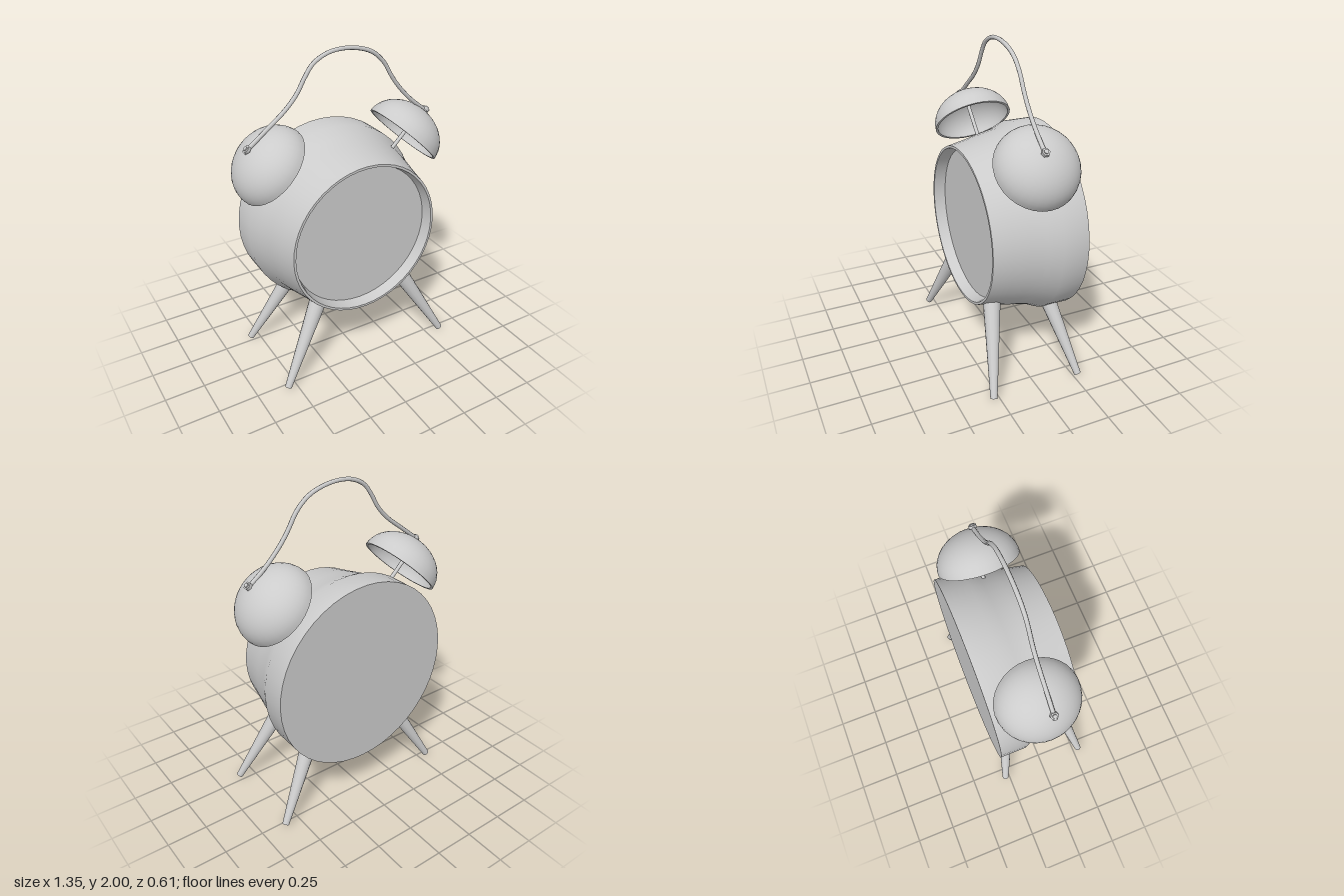
import * as THREE from 'three';
import { toCreasedNormals } from 'three/addons/utils/BufferGeometryUtils.js';

const material = new THREE.MeshStandardMaterial({ color: 0xcccccc });
const shellMaterial = new THREE.MeshStandardMaterial({ color: 0xcccccc, side: THREE.DoubleSide });
const v = (x, y, z) => new THREE.Vector3(x, y, z);

function add(parent, name, geometry, mat = material) {
  const mesh = new THREE.Mesh(geometry, mat);
  mesh.name = name;
  parent.add(mesh);
  return mesh;
}

function lathe(profile, segments, crease = 0.5) {
  const points = profile.map(([r, y]) => new THREE.Vector2(r, y));
  return toCreasedNormals(new THREE.LatheGeometry(points, segments), crease);
}

// Tapered round bar between two points
function bar(parent, name, from, to, rFrom, rTo, segments) {
  const dir = to.clone().sub(from);
  const mesh = add(parent, name, new THREE.CylinderGeometry(rTo, rFrom, dir.length(), segments));
  mesh.position.copy(from).add(to).multiplyScalar(0.5);
  mesh.quaternion.setFromUnitVectors(v(0, 1, 0), dir.normalize());
  return mesh;
}

export function createModel() {
  const clock = new THREE.Group();
  clock.name = 'alarmClock';
  const cx = 0.02, cy = 0.88;

  // Case: straight back drum, tapering to a thin front lip and recessed bezel
  const caseGeometry = lathe([
    [0, -0.3], [0.592, -0.3], [0.592, -0.14], [0.555, -0.06], [0.535, 0.04],
    [0.512, 0.14], [0.49, 0.25], [0.475, 0.25], [0.458, 0.17],
  ], 48).rotateX(Math.PI / 2);
  add(clock, 'case', caseGeometry).position.set(cx, cy, 0);

  // Flat dial inside the bezel
  add(clock, 'dial', new THREE.CircleGeometry(0.465, 48)).position.set(cx, cy, 0.18);

  // Bell shell: flattened dome, outside then rim then inside
  const bellProfile = [];
  const steps = 12;
  for (let i = 0; i <= steps; i++) {
    const a = (i / steps) * Math.PI / 2;
    bellProfile.push([0.235 * Math.sin(a), 0.185 * Math.cos(a)]);
  }
  for (let i = steps; i >= 0; i--) {
    const a = (i / steps) * Math.PI / 2;
    bellProfile.push([0.25 * Math.sin(a), 0.2 * Math.cos(a)]);
  }
  const bellGeometry = lathe(bellProfile, 32);

  for (const [side, s] of [['left', 1], ['right', -1]]) {
    // Bell, its post and the bolt on top
    const bell = add(clock, side + 'Bell', bellGeometry, shellMaterial);
    bell.position.set(s * 0.45, 1.367, -0.033);
    bell.rotation.z = -s * Math.PI / 4;
    bar(clock, side + 'BellPost', v(s * 0.34, 1.257, -0.033), v(s * 0.585, 1.502, -0.033), 0.012, 0.012, 10);
    bar(clock, side + 'HandleBolt', v(s * 0.575, 1.492, -0.006), v(s * 0.612, 1.529, -0.006), 0.013, 0.013, 10);
    bar(clock, side + 'BoltHead', v(s * 0.594, 1.511, -0.006), v(s * 0.607, 1.524, -0.006), 0.024, 0.024, 6);

    // Splayed tapered legs, front and back
    for (const [end, e] of [['Front', 1], ['Back', -1]]) {
      bar(clock, side + end + 'Leg',
        v(cx + s * 0.58, 0.012, 0.005 + e * 0.283),
        v(cx + s * 0.305, 0.495, 0.005 + e * 0.175), 0.021, 0.053, 14);
    }
  }

  // Arched carrying handle
  const path = [
    [-0.62, 1.5], [-0.475, 1.61], [-0.365, 1.695], [-0.29, 1.775], [-0.235, 1.865],
    [-0.185, 1.93], [-0.1, 1.975], [0, 1.988], [0.115, 1.972], [0.205, 1.935],
    [0.28, 1.865], [0.335, 1.775], [0.39, 1.7], [0.48, 1.605], [0.61, 1.5],
  ].map(([x, y]) => v(x, y, -0.006));
  add(clock, 'handle', new THREE.TubeGeometry(new THREE.CatmullRomCurve3(path), 56, 0.0125, 8), shellMaterial);

  return clock;
}
